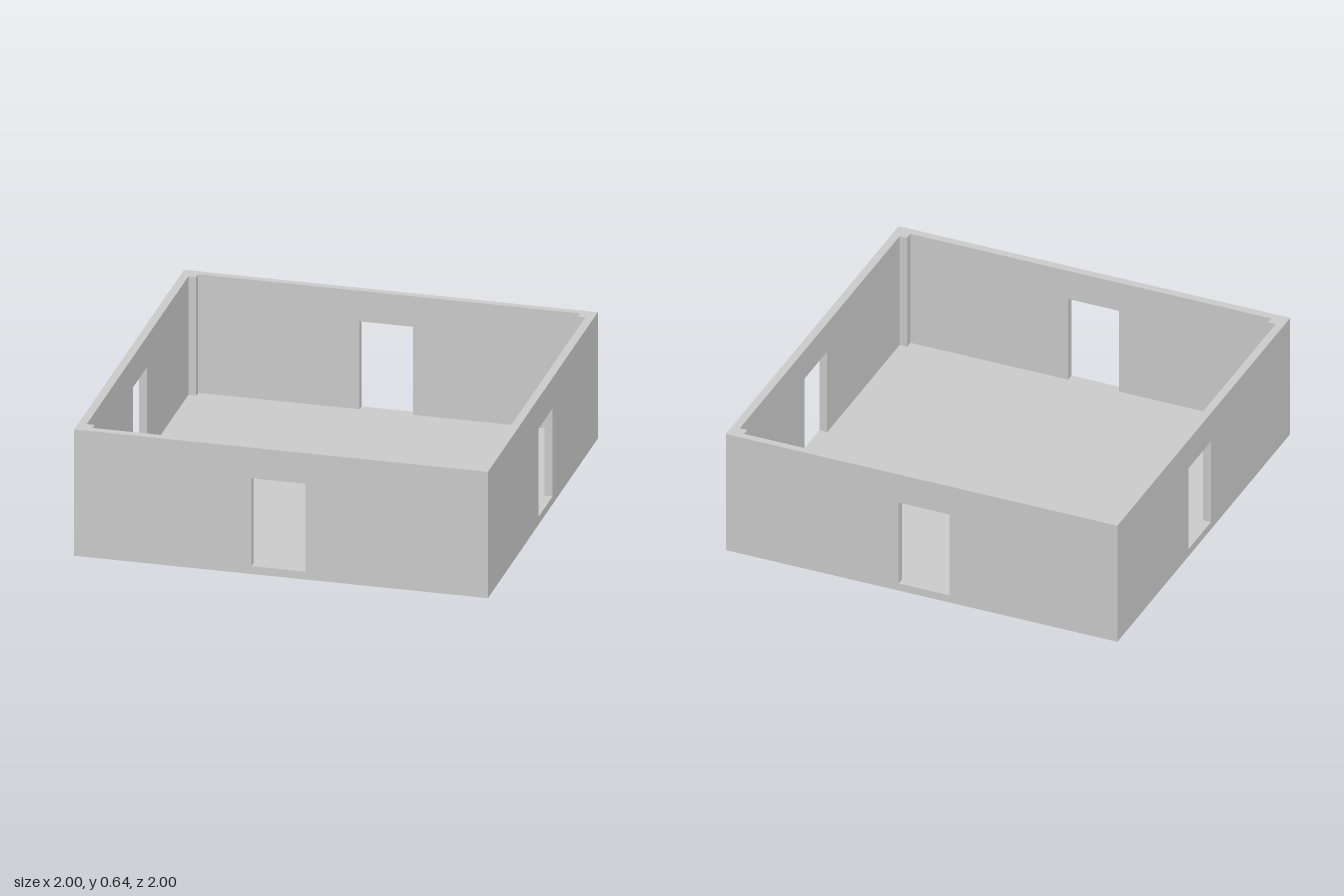
import * as THREE from 'three';

const HEIGHT = 0.64, WALL = 0.04, BACK_WALL = 0.036, FLOOR = 0.04, POST = 0.038;
const DOOR_TOP = 0.485;

export function createModel() {
  const room = new THREE.Group();
  room.name = 'room';
  const material = new THREE.MeshStandardMaterial({ color: 0xcccccc, flatShading: true });

  function add(name, geometry, x, y, z) {
    const mesh = new THREE.Mesh(geometry, material);
    mesh.name = name;
    mesh.position.set(x, y, z);
    room.add(mesh);
    return mesh;
  }

  // Upright wall from u0 to u1 with a doorway from d0 to d1, extruded along +z
  function wallGeometry(u0, u1, d0, d1, thickness) {
    const shape = new THREE.Shape([
      new THREE.Vector2(u0, 0), new THREE.Vector2(u1, 0),
      new THREE.Vector2(u1, HEIGHT), new THREE.Vector2(u0, HEIGHT),
    ]);
    shape.holes.push(new THREE.Path([
      new THREE.Vector2(d0, FLOOR), new THREE.Vector2(d0, DOOR_TOP),
      new THREE.Vector2(d1, DOOR_TOP), new THREE.Vector2(d1, FLOOR),
    ]));
    return new THREE.ExtrudeGeometry(shape, { depth: thickness, bevelEnabled: false });
  }

  // Inner faces of the walls
  const inX = 1 - WALL, inFront = 1 - WALL, inBack = -1 + BACK_WALL;

  // Front and back walls span the full width
  add('frontWall', wallGeometry(-1, 1, -0.143, 0.117, WALL), 0, 0, inFront);
  add('backWall', wallGeometry(-1, 1, -0.143, 0.117, BACK_WALL), 0, 0, -1);

  // Side walls fit between them; after the turn the shape's u axis runs along -z
  for (const [name, x] of [['leftWall', inX], ['rightWall', -1]]) {
    const wall = add(name, wallGeometry(-inFront, -inBack, -0.083, 0.178, WALL), x, 0, 0);
    wall.rotation.y = Math.PI / 2;
  }

  // Floor slab between the walls
  const depth = inFront - inBack, midZ = (inFront + inBack) / 2;
  add('floor', new THREE.BoxGeometry(2 * inX, FLOOR, depth), 0, FLOOR / 2, midZ);

  // Square posts in the four inner corners
  const postHeight = HEIGHT - FLOOR;
  const postGeometry = new THREE.BoxGeometry(POST, postHeight, POST);
  for (const sx of [-1, 1]) {
    for (const z of [inFront - POST / 2, inBack + POST / 2]) {
      add('cornerPost', postGeometry, sx * (inX - POST / 2), FLOOR + postHeight / 2, z);
    }
  }

  return room;
}
